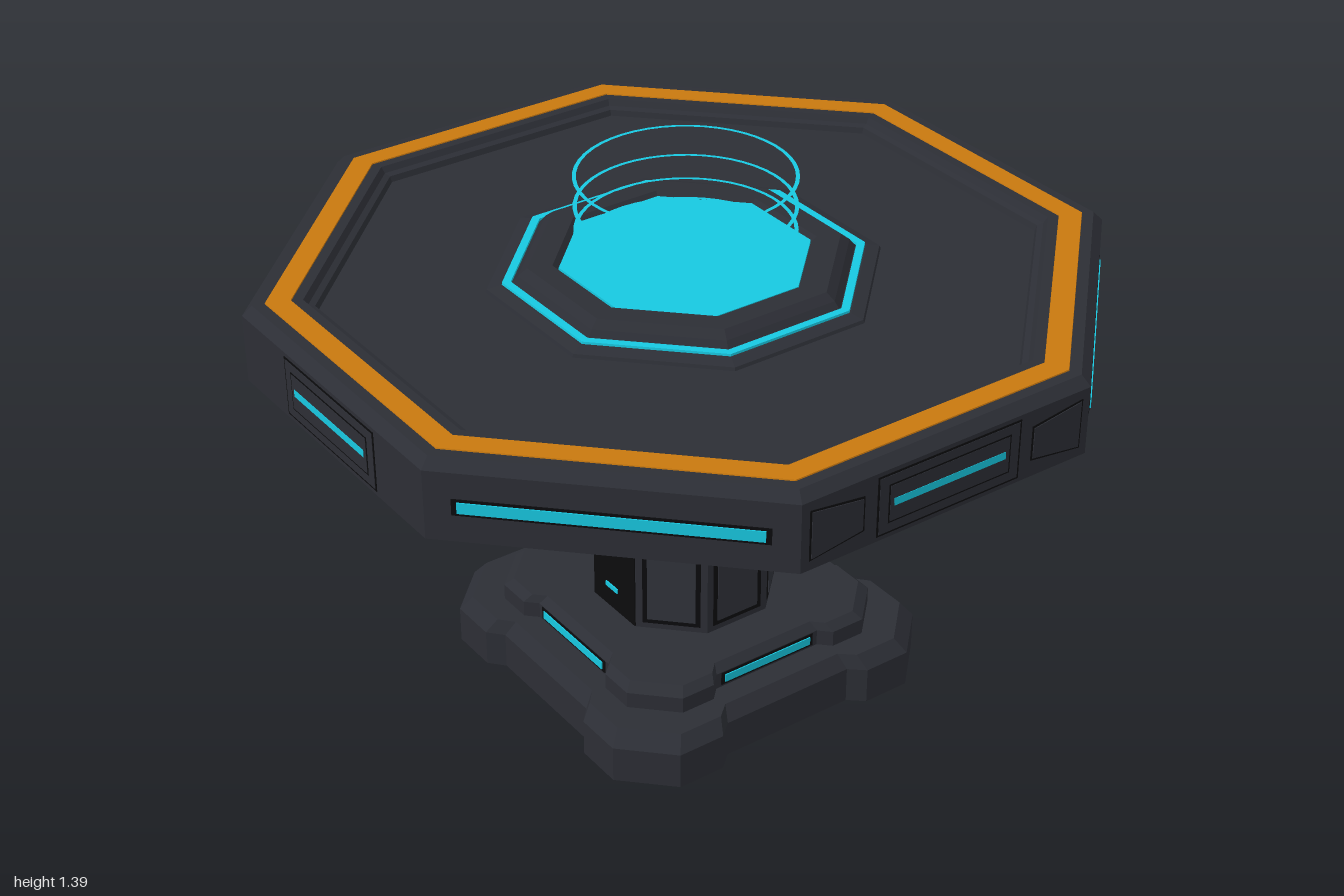
import * as THREE from 'three';

const mat = (color, side = THREE.FrontSide) => new THREE.MeshStandardMaterial({ color, side, flatShading: true });
const DARK = mat(0x2c2e35), PANEL = mat(0x30323a), BLACK = mat(0x0b0b0d);
const CYAN = mat(0x17c8e0), ORANGE = mat(0xc8780f), HOLO = mat(0x17c8e0, THREE.DoubleSide);

// Regular octagon with apothem 1, flat sides facing the axes
const OCTAGON = Array.from({ length: 8 }, (_, i) => {
  const a = (i + 0.5) * Math.PI / 4, r = 1 / Math.cos(Math.PI / 8);
  return [r * Math.cos(a), r * Math.sin(a)];
});

// Square outline with a chamfered lobe on each corner
function lobedOutline(half, chamfer, mid, gapOuter, gapInner) {
  let pts = [[mid, gapInner], [half, gapOuter], [half, chamfer], [chamfer, half], [gapOuter, half], [gapInner, mid]];
  const out = [];
  for (let q = 0; q < 4; q++) {
    out.push(...pts);
    pts = pts.map(([x, z]) => [-z, x]);
  }
  return out;
}

// Sweeps an xz outline through [scale, y] sections, listed from the bottom outwards and up
function loft(name, outline, profile, material) {
  const pos = [], n = outline.length;
  const at = (i, [s, y]) => [outline[i % n][0] * s, y, outline[i % n][1] * s];
  for (let j = 0; j < profile.length - 1; j++) {
    const p = profile[j], q = profile[j + 1];
    for (let i = 0; i < n; i++) {
      const a = at(i, p), b = at(i + 1, p), c = at(i + 1, q), d = at(i, q);
      if (q[0] > 0) pos.push(...a, ...d, ...c);
      if (p[0] > 0) pos.push(...a, ...c, ...b);
    }
  }
  const g = new THREE.BufferGeometry();
  g.setAttribute('position', new THREE.Float32BufferAttribute(pos, 3));
  g.computeVertexNormals();
  const m = new THREE.Mesh(g, material);
  m.name = name;
  return m;
}

// Thin plate whose outer surface lies at z
function plate(name, w, h, x, y, z, material) {
  const m = new THREE.Mesh(new THREE.BoxGeometry(w, h, 0.02), material);
  m.position.set(x, y, z - 0.01);
  m.name = name;
  return m;
}

// Group turned to face one of the eight sides (0 = front, 2 = +x)
function sideGroup(name, k) {
  const g = new THREE.Group();
  g.name = name;
  g.rotation.y = k * Math.PI / 4;
  return g;
}

function trapezoid(name, sx, grow, z, material) {
  const s = new THREE.Shape([[0.245, 0.04], [0.385, 0.06], [0.385, -0.06], [0.245, -0.04]]
    .map(([x, y]) => new THREE.Vector2(sx * (x + Math.sign(x - 0.3) * grow), y + Math.sign(y) * grow)));
  const m = new THREE.Mesh(new THREE.ExtrudeGeometry(s, { depth: 0.01, bevelEnabled: false }), material);
  m.position.set(0, 1.052, z - 0.01);
  m.name = name;
  return m;
}

export function createModel() {
  const model = new THREE.Group();
  model.name = 'hologramTable';

  // Stepped base with corner feet
  model.add(loft('baseLower', lobedOutline(0.48, 0.36, 0.445, 0.23, 0.19),
    [[0, 0], [1, 0], [1, 0.1], [0.94, 0.138], [0, 0.138]], DARK));
  model.add(loft('baseUpper', lobedOutline(0.385, 0.285, 0.355, 0.19, 0.16),
    [[0, 0.13], [1, 0.13], [1, 0.182], [0.945, 0.203], [0, 0.203]], DARK));
  for (let k = 0; k < 8; k += 2) {
    const g = sideGroup('baseLight', k);
    g.add(plate('baseSlot', 0.29, 0.036, 0, 0.162, 0.357, BLACK));
    g.add(plate('baseStrip', 0.27, 0.022, 0, 0.162, 0.36, CYAN));
    model.add(g);
  }

  // Octagonal column with inset panels
  model.add(loft('column', OCTAGON, [[0, 0.19], [0.224, 0.19], [0.224, 0.97], [0, 0.97]], DARK));
  for (let k = 0; k < 8; k++) {
    const g = sideGroup('columnSide', k);
    if (k === 0) g.add(plate('columnFrontPanel', 0.184, 0.755, 0, 0.582, 0.227, BLACK));
    else {
      g.add(plate('columnSlot', 0.15, 0.725, 0, 0.582, 0.226, BLACK));
      g.add(plate('columnPanel', 0.125, 0.7, 0, 0.582, 0.228, PANEL));
    }
    if (k % 4 === 0) {
      for (let i = 0; i < 4; i++) g.add(plate('columnLight', 0.052, 0.013, -0.008, 0.27 + i * 0.21, 0.231, CYAN));
    }
    model.add(g);
  }

  // Table top with a bevelled rim and a sunken surface
  model.add(loft('tableTop', OCTAGON, [[0, 0.963], [0.995, 0.963], [0.995, 1.14], [0.972, 1.165],
    [0.86, 1.165], [0.85, 1.15], [0.835, 1.145], [0.83, 1.13], [0, 1.13]], DARK));
  model.add(loft('rimStripe', OCTAGON, [[0.945, 1.16], [0.943, 1.168], [0.887, 1.168], [0.885, 1.16]], ORANGE));

  // Rim panels and light strips
  for (let k = 0; k < 8; k++) {
    const g = sideGroup('rimSide', k);
    if (k % 2) {
      g.add(plate('rimSlot', 0.7, 0.042, 0, 1.053, 0.997, BLACK));
      g.add(plate('rimStrip', 0.675, 0.028, 0, 1.053, 1, CYAN));
    } else {
      g.add(plate('rimFrame', 0.41, 0.155, 0, 1.052, 0.9965, BLACK));
      g.add(plate('rimBorder', 0.4, 0.145, 0, 1.052, 0.9975, DARK));
      g.add(plate('rimInset', 0.35, 0.1, 0, 1.052, 0.9982, BLACK));
      g.add(plate('rimPanel', 0.342, 0.092, 0, 1.052, 0.999, DARK));
      g.add(plate('rimStrip', 0.32, 0.019, 0, 1.053, 1, CYAN));
    }
    if (k % 4 === 2) {
      for (const sx of [-1, 1]) {
        g.add(trapezoid('rimSideFrame', sx, 0.005, 0.9965, BLACK));
        g.add(trapezoid('rimSidePanel', sx, 0, 0.9985, DARK));
      }
    }
    model.add(g);
  }

  // Raised projector in the middle of the table
  model.add(loft('projectorHousing', OCTAGON, [[0.46, 1.125], [0.455, 1.138], [0.425, 1.146], [0.397, 1.146],
    [0.383, 1.165], [0.362, 1.183], [0.305, 1.183], [0.292, 1.168], [0, 1.168]], DARK));
  model.add(loft('projectorRing', OCTAGON, [[0.421, 1.142], [0.42, 1.152], [0.4, 1.152], [0.399, 1.142]], CYAN));
  model.add(loft('projectorLens', OCTAGON, [[0.291, 1.165], [0.291, 1.175], [0, 1.175]], CYAN));

  // Floating hologram rings
  for (const y of [1.19, 1.245, 1.31, 1.39]) {
    const ring = new THREE.Mesh(new THREE.RingGeometry(0.263, 0.273, 48), HOLO);
    ring.rotation.x = -Math.PI / 2;
    ring.position.y = y;
    ring.name = 'hologramRing';
    model.add(ring);
  }
  return model;
}
